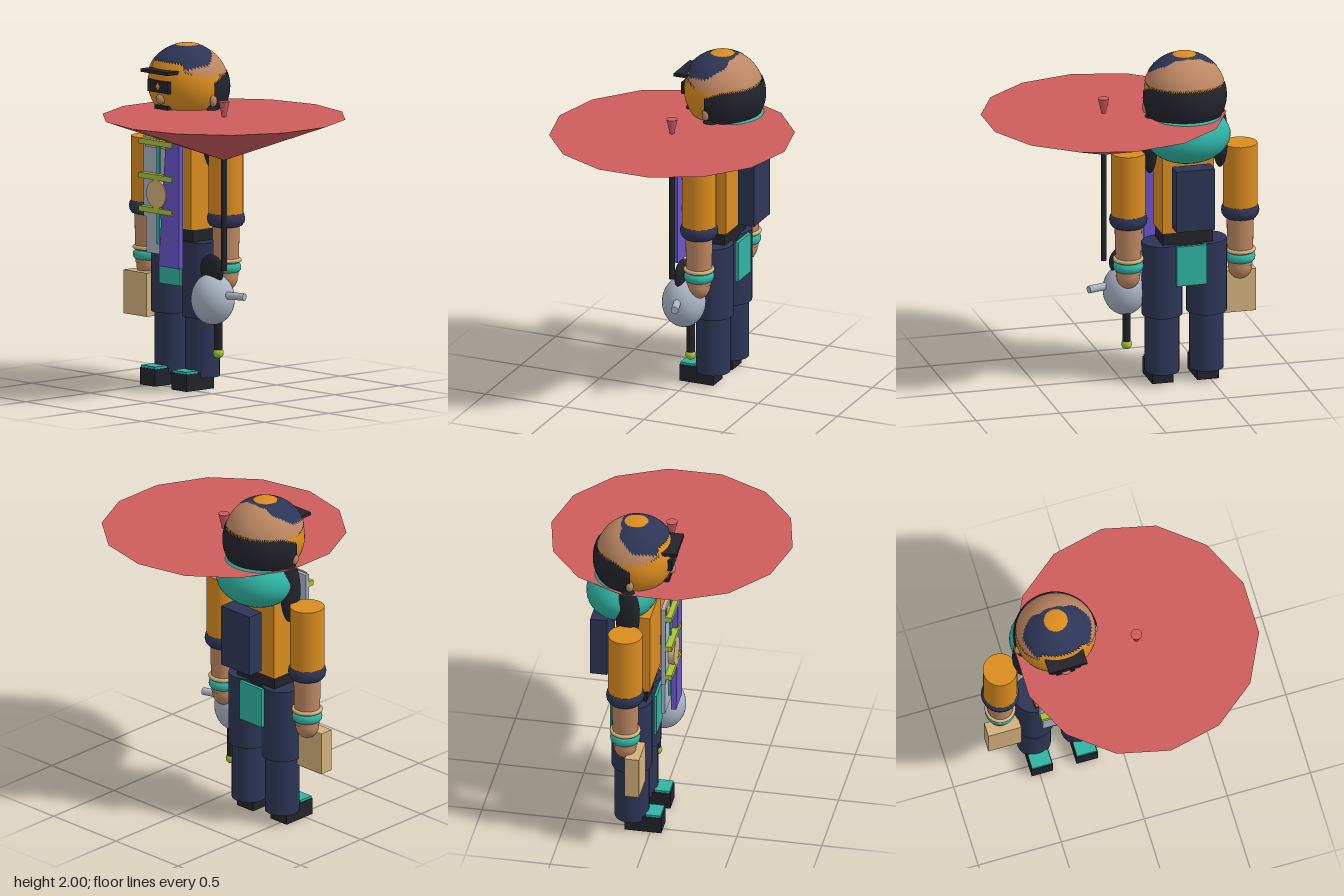
import * as THREE from 'three';

const mat = (name, color, extra = {}) => {
  const m = new THREE.MeshStandardMaterial({ color, ...extra });
  m.name = name;
  return m;
};

export function createModel() {
  const both = { side: THREE.DoubleSide };
  const orange = mat('orange', 0xdb8c1f, both), navy = mat('navy', 0x2d3556, both);
  const teal = mat('teal', 0x2fb3a3), skin = mat('skin', 0xbd8762, both);
  const black = mat('black', 0x22232b, both), grey = mat('grey', 0xaab4c4);
  const purple = mat('purple', 0x6a55cb), lime = mat('lime', 0xa9c336);
  const tan = mat('tan', 0xd2b07c), red = mat('red', 0xcd5c5c);

  const model = new THREE.Group();
  model.name = 'travellerWithParasol';
  const CX = -0.35, CZ = -0.12; // body axis

  const add = (name, geo, material, x, y, z, parent = model) => {
    const m = new THREE.Mesh(geo, material);
    m.name = name;
    m.position.set(x, y, z);
    parent.add(m);
    return m;
  };
  // box given by its limits
  const box = (name, material, x0, x1, y0, y1, z0, z1, parent) =>
    add(name, new THREE.BoxGeometry(x1 - x0, y1 - y0, z1 - z0), material,
      (x0 + x1) / 2, (y0 + y1) / 2, (z0 + z1) / 2, parent);
  // upright cylinder between two heights
  const post = (name, material, rTop, rBottom, x, y0, y1, z, parent) =>
    add(name, new THREE.CylinderGeometry(rTop, rBottom, y1 - y0, 28), material, x, (y0 + y1) / 2, z, parent);
  const ball = (name, material, x, y, z, rx, ry, rz, parent) => {
    const m = add(name, new THREE.SphereGeometry(1, 32, 20), material, x, y, z, parent);
    m.scale.set(rx, ry, rz);
    return m;
  };
  const ring = (name, material, r, tube, x, y, z, squash, parent) => {
    const m = add(name, new THREE.TorusGeometry(r, tube, 12, 32), material, x, y, z, parent);
    m.rotation.x = Math.PI / 2;
    m.scale.z = squash;
    return m;
  };
  // piecewise linear lookup over [angle, value] pairs
  const lookup = (table, a) => {
    for (let i = 1; i < table.length; i++) {
      const [a0, v0] = table[i - 1], [a1, v1] = table[i];
      if (a <= a1) return v0 + (v1 - v0) * Math.max(0, (a - a0) / (a1 - a0));
    }
    return table[table.length - 1][1];
  };
  // patch of an ellipsoid; limits in degrees, angle 0 is the front, edges vary with the angle
  const shell = (name, material, from, to, top, bottom, cy, r, parent) => {
    const W = 64, H = 14, d = Math.PI / 180;
    const geo = new THREE.SphereGeometry(1, W, H);
    const p = geo.attributes.position, n = geo.attributes.normal;
    for (let i = 0; i < p.count; i++) {
      const a = from + (to - from) * (i % (W + 1)) / W;
      const fold = a > 180 ? 360 - a : Math.abs(a);
      const t0 = lookup(top, fold), t1 = lookup(bottom, fold);
      const t = (t0 + (t1 - t0) * Math.floor(i / (W + 1)) / H) * d;
      const v = [Math.sin(t) * Math.sin(a * d), Math.cos(t), Math.sin(t) * Math.cos(a * d)];
      p.setXYZ(i, ...v);
      n.setXYZ(i, ...v);
    }
    const m = add(name, geo, material, CX, cy, CZ, parent);
    m.scale.set(...r);
    return m;
  };

  // head: face, bare scalp, cap, button and hair
  const head = new THREE.Group();
  head.name = 'head';
  model.add(head);
  const HY = 1.765, pole = [[0, 0], [180, 0]];
  ball('face', orange, CX, HY, CZ, 0.236, 0.228, 0.22, head);
  shell('scalp', skin, 42, 318, pole, [[42, 69], [70, 76], [110, 78], [180, 76]], HY, [0.24, 0.23, 0.238], head);
  shell('cap', navy, 0, 360, pole,
    [[0, 54], [38, 56], [46, 67], [62, 62], [85, 60], [105, 46], [120, 40], [135, 26], [180, 21]],
    HY, [0.242, 0.233, 0.24], head);
  shell('capButton', orange, 0, 360, pole, [[0, 17], [180, 17]], HY, [0.244, 0.235, 0.244], head);
  shell('backHair', black, 88, 272, [[88, 78], [110, 68], [180, 66]], [[88, 122], [180, 132]],
    1.745, [0.246, 0.24, 0.253], head);
  box('visor', black, -0.465, -0.235, 1.843, 1.862, 0.02, 0.138, head);
  box('glasses', black, -0.44, -0.265, 1.73, 1.8, 0.03, 0.106, head);
  const gem = add('glassesGem', new THREE.CircleGeometry(0.022, 4), orange, CX, 1.766, 0.109, head);
  gem.scale.x = 0.8;
  ball('nose', skin, CX, 1.69, 0.085, 0.03, 0.03, 0.026, head);
  box('mouth', black, -0.405, -0.295, 1.63, 1.652, 0.03, 0.082, head);
  for (const s of [-1, 1]) {
    ball('ear', skin, CX + s * 0.232, 1.685, -0.115, 0.02, 0.035, 0.022, head);
    ball('hairLock', black, CX + s * 0.21, 1.475, -0.13, 0.045, 0.19, 0.07, head);
  }
  ball('scarf', teal, CX, 1.525, -0.2, 0.25, 0.165, 0.21);

  // trunk
  box('torso', orange, -0.505, -0.195, 0.93, 1.43, -0.21, -0.01);
  box('waist', black, -0.5, -0.2, 0.84, 0.93, -0.2, -0.03);
  box('backpack', navy, -0.465, -0.235, 0.99, 1.36, -0.37, -0.27);
  box('frontFlap', teal, -0.44, -0.26, 0.6, 0.86, 0.0, 0.015);
  box('backFlap', teal, -0.45, -0.27, 0.62, 0.86, -0.255, -0.235);

  // layered front panels with ties and medallion
  box('greyPanel', grey, -0.505, -0.27, 0.99, 1.5, 0.055, 0.08);
  box('greyPanelLower', grey, -0.485, -0.3, 0.78, 1.0, 0.055, 0.075);
  const sash = new THREE.Shape([[-0.34, 0.72], [-0.165, 0.72], [-0.165, 1.48], [-0.185, 1.5], [-0.275, 1.5]]
    .map(([x, y]) => new THREE.Vector2(x, y)));
  add('purpleSash', new THREE.ExtrudeGeometry(sash, { depth: 0.03, bevelEnabled: false }), purple, 0, 0, 0.081);
  box('centreStripe', teal, -0.382, -0.356, 0.84, 1.5, 0.076, 0.088);
  box('collarTab', tan, -0.485, -0.39, 1.4, 1.505, 0.076, 0.086);
  box('collarTab', tan, -0.348, -0.285, 1.4, 1.505, 0.076, 0.086);
  for (const y of [1.435, 1.235, 1.04]) box('tie', lime, -0.505, -0.22, y - 0.016, y + 0.016, 0.078, 0.118);
  const disc = add('medallion', new THREE.CylinderGeometry(0.083, 0.083, 0.036, 32), tan, -0.355, 1.137, 0.1);
  disc.rotation.x = Math.PI / 2;

  for (const s of [-1, 1]) {
    // leg and shoe
    const leg = new THREE.Group();
    leg.name = s > 0 ? 'leftLeg' : 'rightLeg';
    model.add(leg);
    post('thigh', navy, 0.118, 0.118, CX + s * 0.133, 0.42, 0.86, CZ, leg);
    post('shin', navy, 0.1, 0.1, CX + s * 0.133, 0.07, 0.43, CZ, leg);
    const sx = CX + s * 0.135;
    box('shoe', black, sx - 0.064, sx + 0.064, 0, 0.1, -0.15, 0.065, leg);
    box('shoeTop', teal, sx - 0.06, sx + 0.06, 0.1, 0.114, -0.03, 0.06, leg);

    // arm with cuff and bangles
    const arm = new THREE.Group();
    arm.name = s > 0 ? 'leftArm' : 'rightArm';
    model.add(arm);
    const ax = CX + s * 0.335;
    post('sleeve', orange, 0.1, 0.1, ax, 1.0, 1.42, CZ, arm);
    ring('cuff', navy, 0.075, 0.036, ax, 1.012, CZ, 1.3, arm);
    post('forearm', skin, 0.08, 0.072, ax, 0.68, 1.0, CZ, arm);
    ring('thinBangle', tan, 0.078, 0.012, ax, 0.77, CZ, 1, arm);
    ring('wideBangle', teal, 0.068, 0.02, ax, 0.727, CZ, 1.4, arm);
    ball('hand', skin, ax, 0.668, CZ, 0.07, 0.078, 0.066, arm);
  }
  box('handBag', tan, -0.785, -0.587, 0.38, 0.635, -0.105, -0.02);

  // parasol: shallow upturned cone on a thin pole
  const parasol = new THREE.Group();
  parasol.name = 'parasol';
  model.add(parasol);
  add('canopy', new THREE.CylinderGeometry(0.71, 0, 0.255, 14), red, 0.1, 1.5025, 0, parasol);
  add('finial', new THREE.CylinderGeometry(0.033, 0.01, 0.1, 14), red, 0.1, 1.67, 0, parasol);
  post('pole', black, 0.016, 0.016, 0.1, 0.73, 1.5, 0, parasol);

  // round flask with handle, spout and pendant
  const flask = new THREE.Group();
  flask.name = 'flask';
  model.add(flask);
  ball('flaskBody', grey, -0.02, 0.55, -0.022, 0.127, 0.15, 0.127, flask);
  ball('flaskHandle', black, -0.02, 0.72, -0.015, 0.092, 0.09, 0.035, flask);
  const spout = add('spout', new THREE.CylinderGeometry(0.022, 0.022, 0.16, 20), grey, 0.13, 0.582, -0.04, flask);
  spout.rotation.set(0, 0.3, -Math.PI / 2, 'YXZ');
  post('pendantRod', black, 0.024, 0.024, -0.02, 0.24, 0.46, -0.065, flask);
  ball('pendantBead', lime, -0.02, 0.23, -0.065, 0.031, 0.031, 0.031, flask);

  return model;
}
